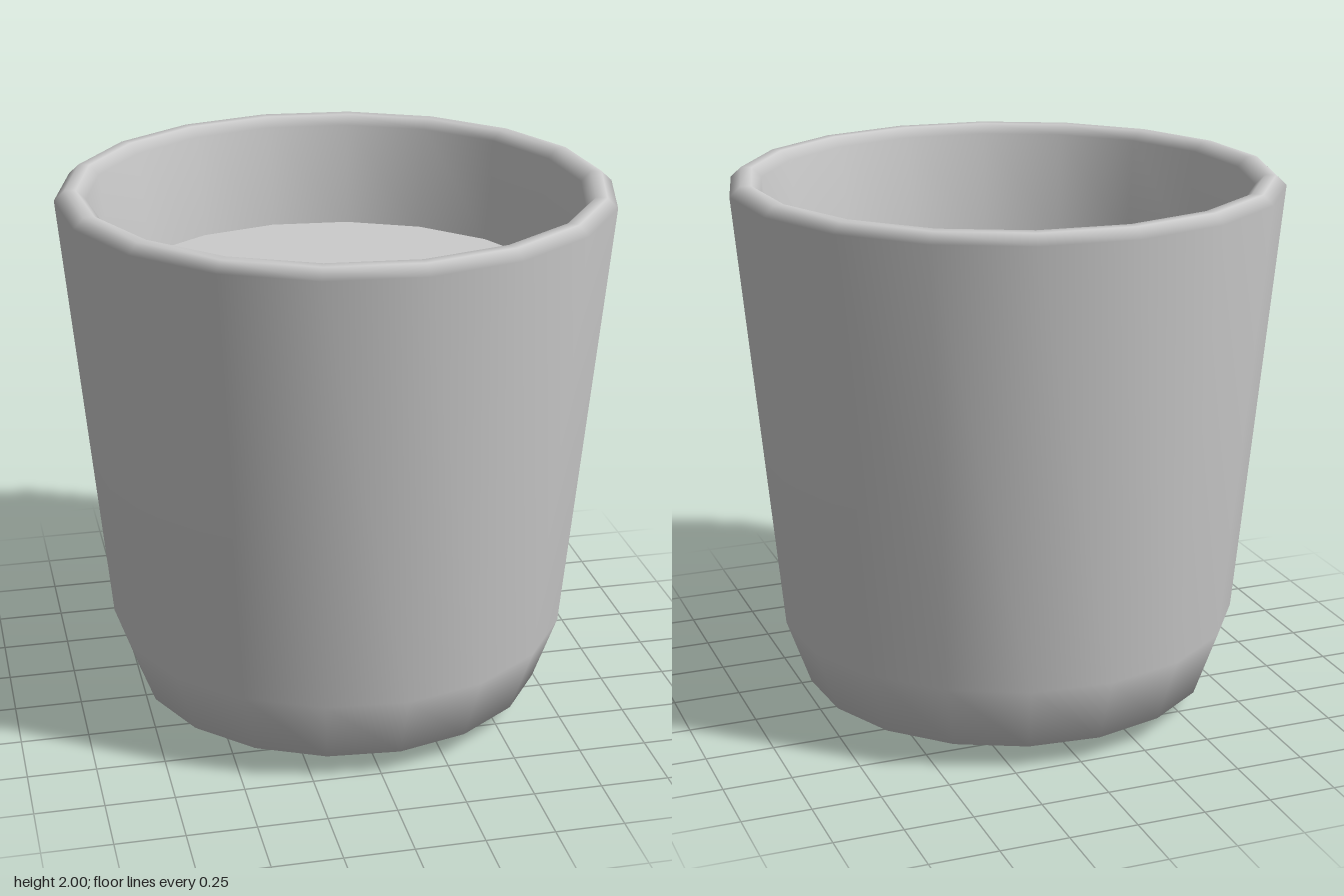
import * as THREE from 'three';

const SIDES = 18;
const TURN = THREE.MathUtils.degToRad(5); // slight twist of the sides about y

export function createModel() {
  const group = new THREE.Group();
  group.name = 'cup';
  const material = new THREE.MeshStandardMaterial({ color: 0xcccccc });

  // Cup shell: underside, rounded foot, flared wall, bevelled rim, inner wall
  const profile = [
    [0, 0], [0.51, 0], [0.765, 0.09], [0.853, 0.34],
    [1.003, 1.965], [0.965, 2], [0.925, 2], [0.89, 1.965], [0.852, 1.58],
  ].map(([r, y]) => new THREE.Vector2(r, y));
  const shell = new THREE.Mesh(new THREE.LatheGeometry(profile, SIDES, TURN), material);
  shell.name = 'cupShell';
  group.add(shell);

  // Flat surface of the contents
  const disc = new THREE.CircleGeometry(0.852, SIDES, -TURN);
  disc.rotateX(-Math.PI / 2);
  const contents = new THREE.Mesh(disc, material);
  contents.name = 'contentsSurface';
  contents.position.y = 1.58;
  group.add(contents);

  return group;
}
